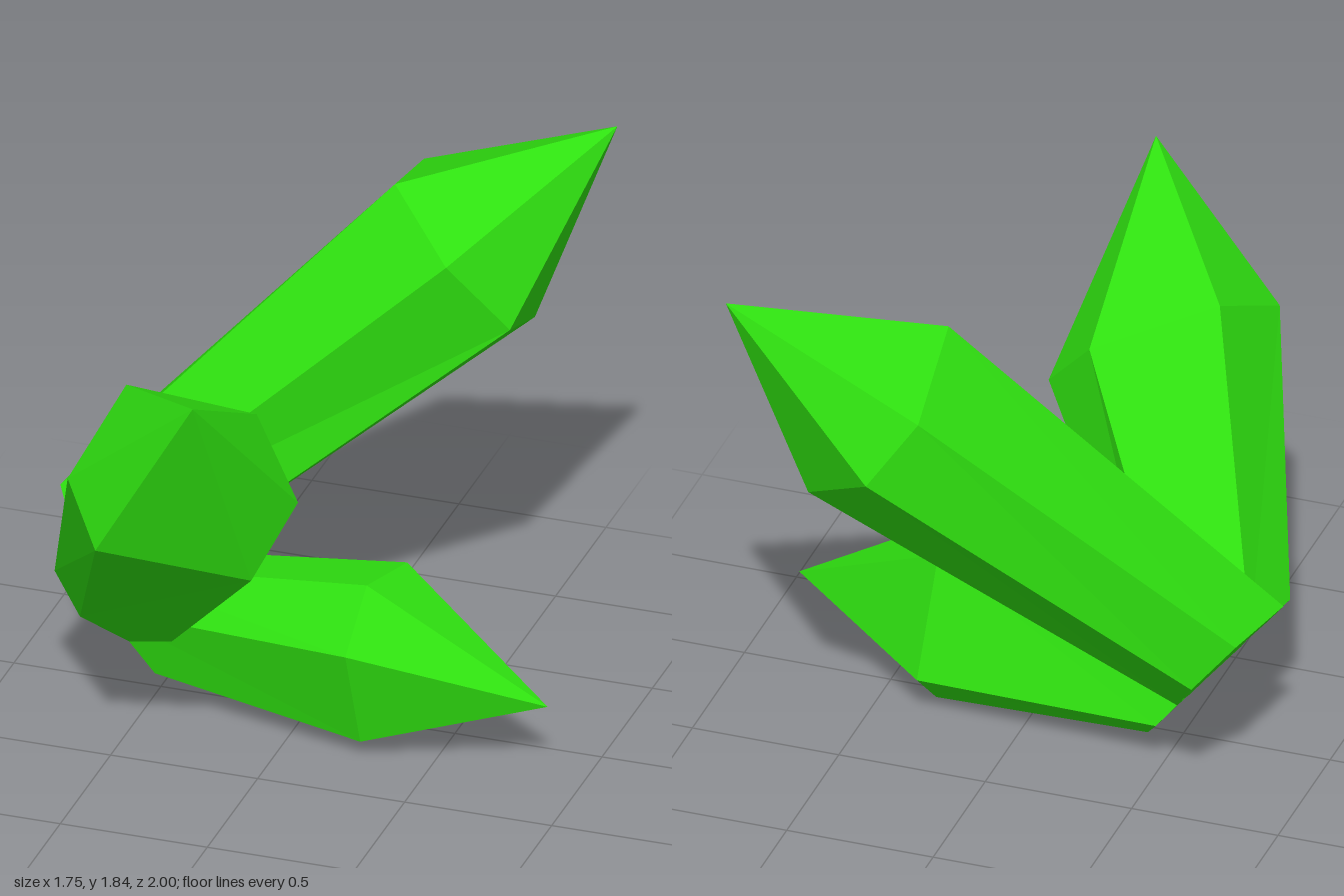
import * as THREE from 'three';

// Six-sided crystal: base ring, shoulder ring (both counter-clockwise seen from the tip), pointed tip
function crystal(name, material, base, shoulder, tip) {
  const centre = [0, 1, 2].map(k => base.reduce((sum, p) => sum + p[k], 0) / base.length);
  const pos = [];
  const tri = (a, b, c) => pos.push(...a, ...b, ...c);
  base.forEach((b, i) => {
    const j = (i + 1) % base.length;
    tri(b, base[j], shoulder[j]);            // shaft side
    tri(b, shoulder[j], shoulder[i]);
    tri(shoulder[i], shoulder[j], tip);      // point facet
    tri(centre, base[j], b);                 // slanted base cut
  });
  const geometry = new THREE.BufferGeometry();
  geometry.setAttribute('position', new THREE.Float32BufferAttribute(pos, 3));
  geometry.computeVertexNormals();
  const mesh = new THREE.Mesh(geometry, material);
  mesh.name = name;
  return mesh;
}

export function createModel() {
  const group = new THREE.Group();
  group.name = 'crystalCluster';
  const green = new THREE.MeshStandardMaterial({ color: 0x2fe010, flatShading: true });
  green.name = 'crystalGreen';

  // All three shafts are cut by one slanted plane at the root
  group.add(
    crystal('frontCrystal', green,
      [[-0.77, 0.49, -0.12], [-0.80, 0.46, 0.18], [-0.70, 0.33, 0.22],
        [-0.51, 0.13, 0.03], [-0.53, 0.21, -0.19], [-0.62, 0.34, -0.30]],
      [[-0.46, 1.335, 0.46], [-0.54, 1.155, 0.81], [-0.405, 0.975, 0.93],
        [0.045, 0.825, 0.695], [0.105, 0.975, 0.405], [-0.08, 1.2, 0.275]],
      [-0.05, 1.585, 1.0]),
    crystal('backCrystal', green,
      [[-0.88, 0.615, -0.11], [-0.79, 0.48, 0], [-0.63, 0.30, -0.04],
        [-0.58, 0.285, -0.29], [-0.70, 0.48, -0.49], [-0.83, 0.63, -0.43]],
      [[0.125, 1.685, -0.50], [0.36, 1.51, -0.32], [0.54, 1.26, -0.43],
        [0.51, 1.135, -0.765], [0.23, 1.345, -1.0], [0.08, 1.56, -0.92]],
      [0.765, 1.835, -0.84]),
    crystal('lowCrystal', green,
      [[-0.66, 0.30, 0.10], [-0.49, 0.095, 0.09], [-0.42, 0.055, -0.12],
        [-0.49, 0.16, -0.24], [-0.67, 0.38, -0.19], [-0.72, 0.40, -0.01]],
      [[0.245, 0.405, 0.345], [0.265, 0.057, 0.255], [0.325, 0, -0.055],
        [0.34, 0.142, -0.20], [0.31, 0.55, -0.08], [0.26, 0.585, 0.175]],
      [0.87, 0.24, 0.16]));
  return group;
}
